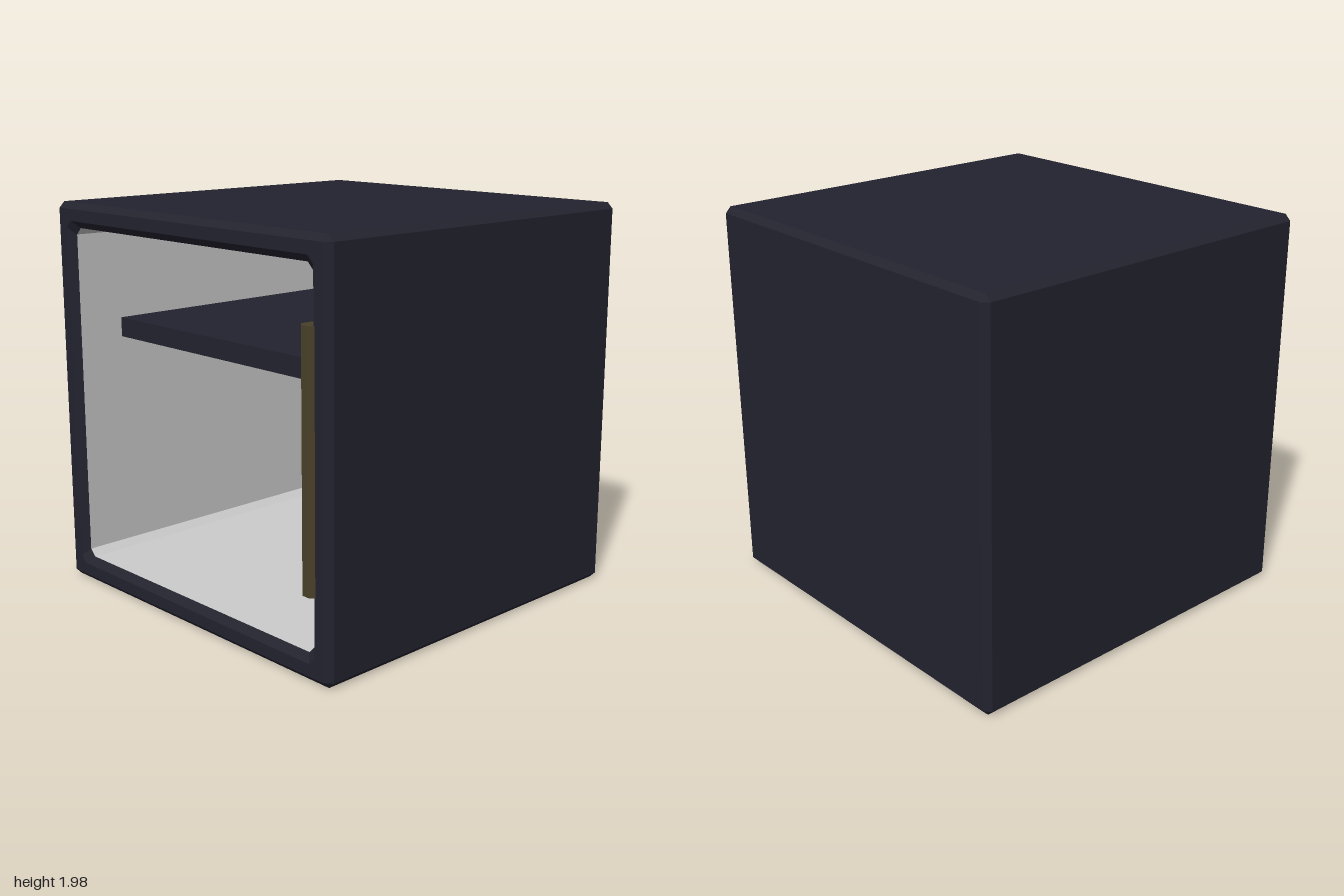
import * as THREE from 'three';

const dark = new THREE.MeshStandardMaterial({ color: 0x23232f, flatShading: true });
const grey = new THREE.MeshStandardMaterial({ color: 0xcccccc, flatShading: true });
const brass = new THREE.MeshStandardMaterial({ color: 0x494029, flatShading: true });
const MID = 0.99; // height of the cabinet's centre

// Square outline with cut corners, counter-clockwise
function outline(h, c) {
  const k = h - c;
  return [[h, -k], [h, k], [k, h], [-k, h], [-h, k], [-h, -k], [-k, -h], [k, -h]];
}

// Loft through sections [half size, corner cut, z]; optional flat cap on the first or last section
function loft(sections, capStart = false, capEnd = false) {
  const pos = [];
  const rings = sections.map(([h, c, z]) => outline(h, c).map(([x, y]) => [x, y, z]));
  for (let s = 0; s + 1 < rings.length; s++) {
    const a = rings[s], b = rings[s + 1];
    for (let i = 0; i < 8; i++) {
      const j = (i + 1) % 8;
      pos.push(...a[i], ...a[j], ...b[j], ...a[i], ...b[j], ...b[i]);
    }
  }
  const first = rings[0], last = rings[rings.length - 1];
  for (let i = 1; i < 7; i++) {
    if (capStart) pos.push(...first[0], ...first[i + 1], ...first[i]);
    if (capEnd) pos.push(...last[0], ...last[i], ...last[i + 1]);
  }
  const g = new THREE.BufferGeometry();
  g.setAttribute('position', new THREE.Float32BufferAttribute(pos, 3));
  g.computeVertexNormals();
  return g;
}

export function createModel() {
  const model = new THREE.Group();
  const add = (name, geometry, material, x, y, z) => {
    const mesh = new THREE.Mesh(geometry, material);
    mesh.name = name;
    mesh.position.set(x, y, z);
    model.add(mesh);
  };

  // Bevelled outer shell, front frame and the bevel into the opening
  add('cabinet', loft([
    [0.96, 0.002, -1], [0.99, 0.03, -0.97], [0.99, 0.03, 0.95],
    [0.96, 0.002, 0.98], [0.9, 0.035, 0.98], [0.865, 0.035, 0.945],
  ], true), dark, 0, MID, 0);

  // Pale inner walls, tapering slightly towards the back
  add('liner', loft([[0.865, 0.035, 0.945], [0.857, 0.035, -0.81]]), grey, 0, MID, 0);

  // Dark bevel around the back wall, then the wall itself
  add('backBevel', loft([[0.857, 0.035, -0.81], [0.822, 0.002, -0.845]]), dark, 0, MID, 0);
  add('backWall', new THREE.PlaneGeometry(1.644, 1.644), grey, 0, MID, -0.845);

  // Shelf
  add('shelf', new THREE.BoxGeometry(1.726, 0.1, 1.54), dark, 0, 1.32, -0.07);

  // Upright handle: octagonal bar on the model's left
  const w = 0.045, d = 0.05, c = 0.025;
  const bar = new THREE.Shape([
    [w, -d + c], [w, d - c], [w - c, d], [c - w, d],
    [-w, d - c], [-w, -d + c], [c - w, -d], [w - c, -d],
  ].map(([x, y]) => new THREE.Vector2(x, y)));
  const handle = new THREE.ExtrudeGeometry(bar, { depth: 1.19, bevelEnabled: false });
  handle.rotateX(-Math.PI / 2);
  add('handle', handle, brass, 0.866, 0.41, 0.95);

  return model;
}
